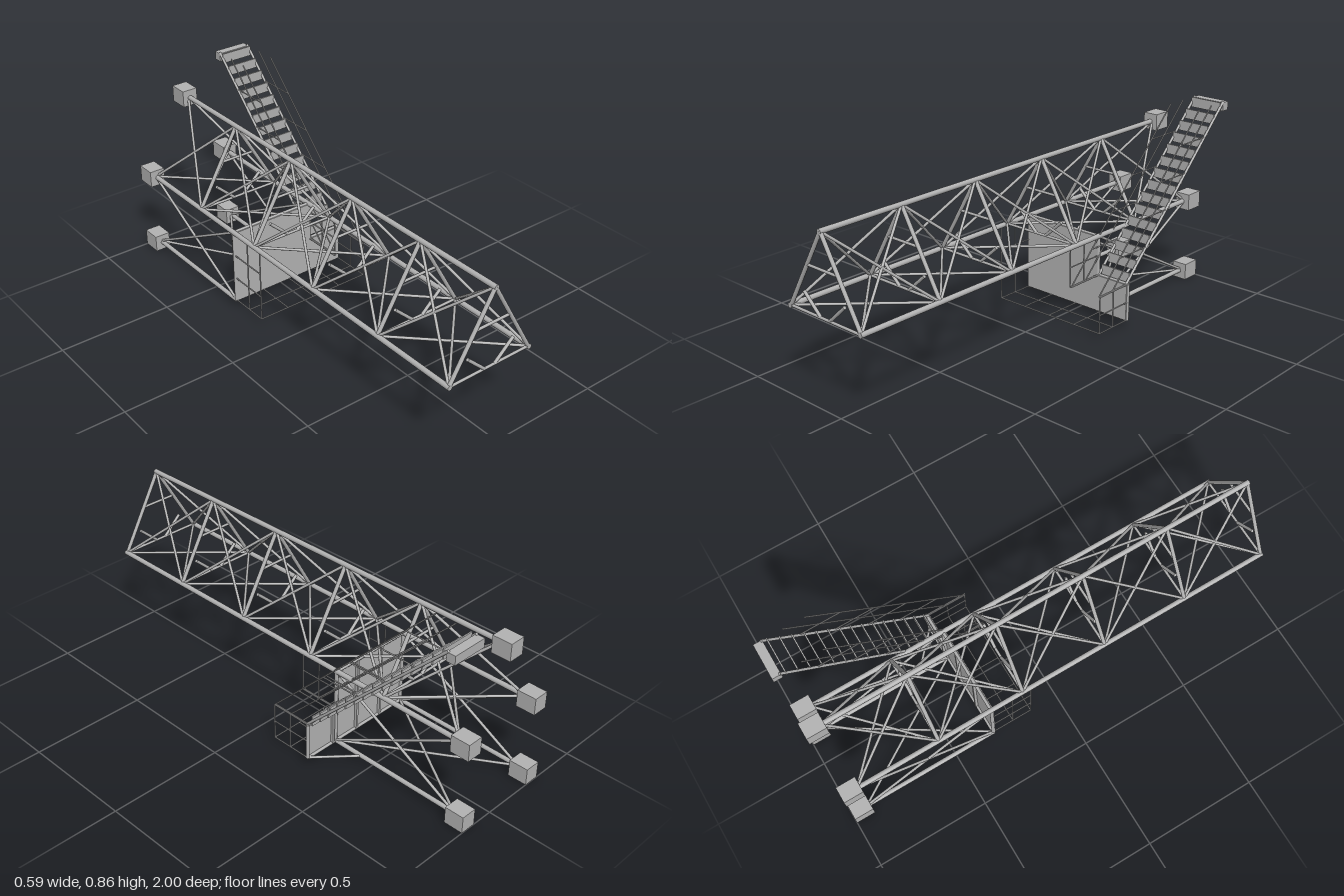
import * as THREE from 'three';

export function createModel() {
  const root = new THREE.Group();
  root.name = 'trussBoomWithStair';
  const steel = new THREE.MeshStandardMaterial({ color: 0xb2b2b2 });
  steel.name = 'grey steel';

  const group = (name) => {
    const g = new THREE.Group();
    g.name = name;
    root.add(g);
    return g;
  };
  const up = new THREE.Vector3(0, 1, 0);

  // Round bar between two points
  function bar(parent, name, a, b, r, sides = 8) {
    const p = new THREE.Vector3(...a), q = new THREE.Vector3(...b);
    const d = q.clone().sub(p);
    const m = new THREE.Mesh(new THREE.CylinderGeometry(r, r, d.length(), sides), steel);
    m.position.copy(p).add(q).multiplyScalar(0.5);
    m.quaternion.setFromUnitVectors(up, d.normalize());
    m.name = name;
    parent.add(m);
  }
  function box(parent, name, size, pos) {
    const m = new THREE.Mesh(new THREE.BoxGeometry(...size), steel);
    m.position.set(...pos);
    m.name = name;
    parent.add(m);
  }

  const L = -0.26, R = 0.13, C = -0.065;       // chord positions across
  const LOW = 0.375, TOP = 0.712, BASE = 0.0375; // chord heights
  const BACK = -0.93, WALL = -0.315;

  // Main triangular truss
  const truss = group('mainTruss');
  const chords = [[L, LOW], [R, LOW], [C, TOP]];
  for (const [x, y] of chords) bar(truss, 'chord', [x, y, 1], [x, y, BACK], 0.011, 12);

  const stations = [0.993, 0.61, 0.22, -0.17, -0.56];
  for (const z of stations) {
    bar(truss, 'crossBar', [L, LOW, z], [R, LOW, z], 0.006);
    bar(truss, 'midTie', [-0.15, 0.565, z], [0.02, 0.565, z], 0.006);
    for (const s of [-1, 1]) {
      bar(truss, 'sideBar', [C + s * 0.195, LOW, z], [C, TOP, z], 0.0085);
      bar(truss, 'shortStrut', [C + s * 0.025, LOW, z], [C + s * 0.112, 0.455, z], 0.007);
    }
  }

  // Crossed bracing on the three faces of every bay
  const ends = [...stations, BACK];
  for (let i = 0; i < ends.length - 1; i++) {
    const z0 = ends[i], z1 = ends[i + 1];
    chords.forEach(([x, y], k) => {
      const [u, v] = chords[(k + 1) % 3];
      bar(truss, 'brace', [x, y, z0], [u, v, z1], 0.006);
      bar(truss, 'brace', [u, v, z0], [x, y, z1], 0.006);
    });
  }

  // Lower support frame
  const frame = group('supportFrame');
  for (const x of [L, R]) {
    bar(frame, 'lowerChord', [x, BASE, WALL], [x, BASE, BACK], 0.01, 12);
    bar(frame, 'post', [x, BASE, WALL], [x, LOW, WALL], 0.008);
    bar(frame, 'brace', [x, BASE, WALL], [x, LOW, BACK], 0.006);
    bar(frame, 'brace', [x, LOW, WALL], [x, BASE, BACK], 0.006);
  }
  bar(frame, 'brace', [L, BASE, WALL], [R, BASE, BACK], 0.006);
  bar(frame, 'brace', [R, BASE, WALL], [L, BASE, BACK], 0.006);
  bar(frame, 'cornerBrace', [R, BASE, -0.46], [0.29, BASE, WALL], 0.006);

  // Mounting blocks at the rear ends
  const blocks = group('mountingBlocks');
  for (const [x, y] of [...chords, [L, BASE], [R, BASE]])
    box(blocks, 'block', [0.07, 0.074, 0.085], [x, y, -0.9575]);

  // Notched panel with edge tubes and stiffeners
  const panel = group('panel');
  const E = 0.29, STEP = 0.2;
  const outline = [[L, LOW], [L, BASE], [E, BASE], [E, STEP], [R, STEP], [R, LOW]];
  const plate = new THREE.Mesh(new THREE.ExtrudeGeometry(
    new THREE.Shape(outline.map(p => new THREE.Vector2(...p))),
    { depth: 0.008, bevelEnabled: false }), steel);
  plate.position.z = WALL;
  plate.name = 'plate';
  panel.add(plate);
  outline.forEach(([x, y], i) => {
    const [u, v] = outline[(i + 1) % outline.length];
    bar(panel, 'edgeTube', [x, y, WALL - 0.003], [u, v, WALL - 0.003], 0.007);
  });
  for (const [x, top] of [[-0.123, LOW], [0.015, LOW], [0.152, STEP]])
    box(panel, 'stiffener', [0.01, top - BASE, 0.012], [x, (top + BASE) / 2, WALL - 0.006]);

  // Railing standing out from the panel edges
  const railing = group('railing');
  const runs = [[0, 1, 3], [1, 2, 4], [2, 3, 2], [4, 5, 2]];
  for (const [i, j, n] of runs) {
    const [x, y] = outline[i], [u, v] = outline[j];
    for (const z of [-0.132, -0.22]) bar(railing, 'rail', [x, y, z], [u, v, z], 0.003, 6);
    for (let k = 0; k <= n; k++) {
      const px = x + (u - x) * k / n, py = y + (v - y) * k / n;
      bar(railing, 'railPost', [px, py, WALL], [px, py, -0.132], 0.003, 6);
    }
  }

  // Steep stair with upright treads, sloping rails and a top block
  const stair = group('stair');
  const y0 = 0.2, rise = 0.655, z0 = -0.312;
  for (const x of [0.136, 0.284]) {
    bar(stair, 'stringer', [x, y0, z0], [x, y0 + rise, z0 - rise], 0.006);
    for (const dz of [0.09, 0.18])
      bar(stair, 'handrail', [x, y0, z0 + dz], [x, y0 + rise, z0 - rise + dz], 0.003, 6);
    for (let k = 0; k < 5; k++) {
      const d = rise * k / 5;
      bar(stair, 'handrailPost', [x, y0 + d, z0 - d], [x, y0 + d, z0 - d + 0.18], 0.003, 6);
    }
  }
  const n = 15, h = rise / n;
  for (let k = 0; k < n; k++) {
    const d = (k + 0.5) * h;
    box(stair, 'tread', [0.148, h, 0.006], [0.21, y0 + d, z0 - d]);
  }
  box(stair, 'topBlock', [0.155, 0.038, 0.038], [0.21, 0.833, -0.981]);

  return root;
}
